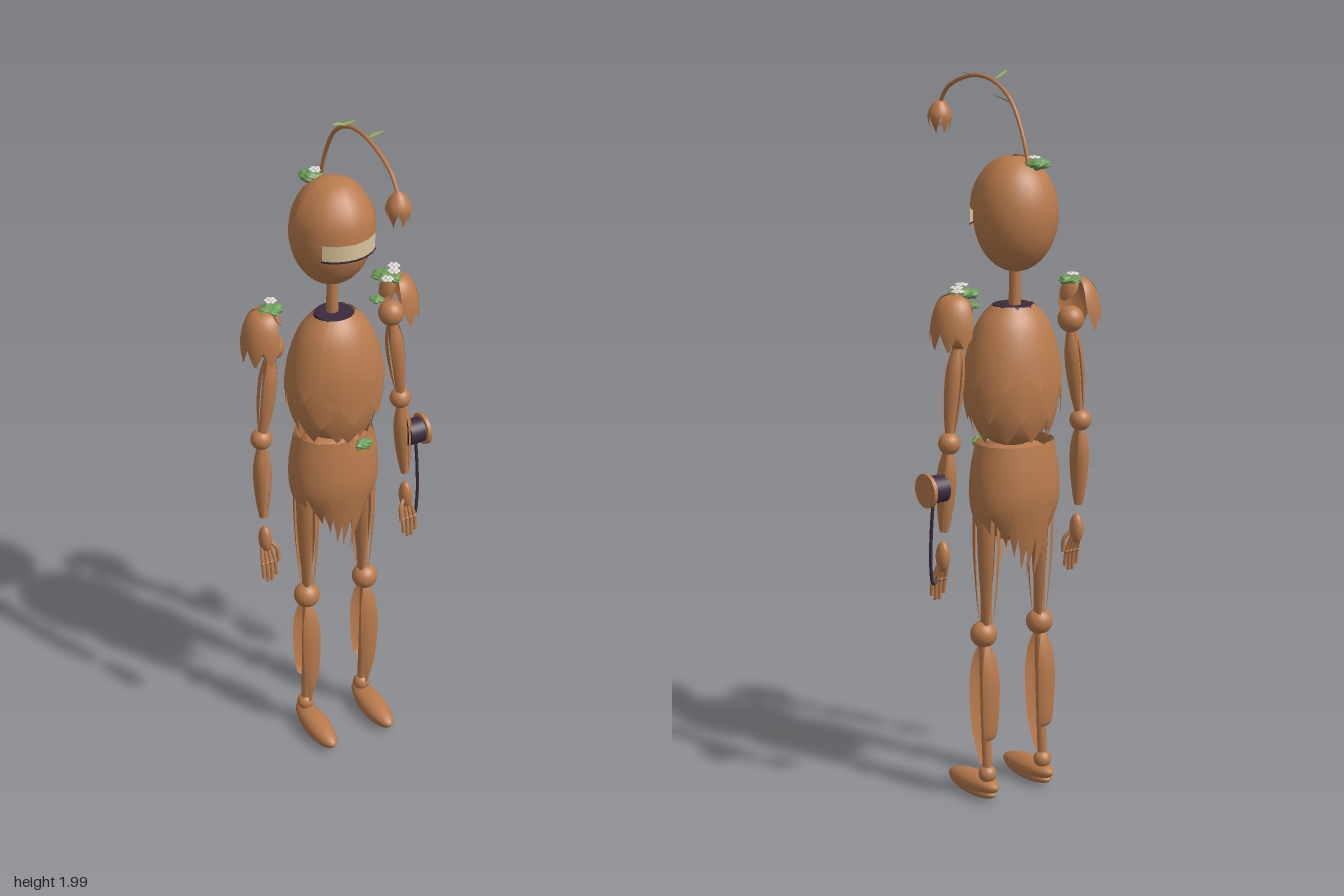
import * as THREE from 'three';
import { mergeVertices } from 'three/addons/utils/BufferGeometryUtils.js';

const mat = (name, color, side = THREE.DoubleSide) => {
  const m = new THREE.MeshStandardMaterial({ color, side });
  m.name = name;
  return m;
};

const curve = (pts) => new THREE.SplineCurve(pts.map(p => new THREE.Vector2(p[0], p[1])));

// Leaf-shaped patch of a surface of revolution.
// profile: [radius, y] points; widths: relative half widths from root to tip; half: half angle.
function petal(profile, angle, half, widths, sx = 1, sz = 1) {
  const prof = curve(profile), wid = curve(widths.map((w, i) => [i, w]));
  const nu = 8, nv = 16, pos = [], idx = [];
  for (let j = 0; j <= nv; j++) {
    const p = prof.getPoint(j / nv), w = Math.max(0, wid.getPoint(j / nv).y) * half;
    for (let i = 0; i <= nu; i++) {
      const a = angle + (i / nu * 2 - 1) * w;
      pos.push(Math.sin(a) * p.x * sx, p.y, Math.cos(a) * p.x * sz);
      if (i < nu && j < nv) {
        const k = j * (nu + 1) + i, n = k + nu + 1;
        idx.push(k, n, k + 1, k + 1, n, n + 1);
      }
    }
  }
  const g = new THREE.BufferGeometry();
  g.setAttribute('position', new THREE.Float32BufferAttribute(pos, 3));
  g.setIndex(idx);
  g.computeVertexNormals();
  return g;
}

// Lumpy cushion
function mossGeometry(seed) {
  const g = new THREE.IcosahedronGeometry(1, 5);
  g.deleteAttribute('normal');
  g.deleteAttribute('uv');
  const m = mergeVertices(g, 1e-4), p = m.attributes.position, v = new THREE.Vector3();
  for (let i = 0; i < p.count; i++) {
    v.fromBufferAttribute(p, i);
    const k = 0.9 + 0.16 * Math.sin(5 * v.x + seed) * Math.sin(5 * v.z + 2 * seed) + 0.09 * Math.sin(9 * v.y + 8 * v.x + seed);
    p.setXYZ(i, v.x * k, v.y * k, v.z * k);
  }
  m.computeVertexNormals();
  return m;
}

export function createModel() {
  const bark = mat('bark brown', 0xb87a4c), dark = mat('dark purple', 0x3a2b3d);
  const moss = mat('moss green', 0x6fa05a), leafMat = mat('leaf green', 0x9ab564);
  const cream = mat('cream', 0xd9c39a), white = mat('blossom white', 0xdcd6d2);
  const model = new THREE.Group(), body = new THREE.Group();
  body.name = 'body';
  body.position.x = -0.013;
  model.add(body);

  const group = (parent, name, x = 0, y = 0, z = 0) => {
    const g = new THREE.Group();
    g.name = name;
    g.position.set(x, y, z);
    parent.add(g);
    return g;
  };
  const add = (parent, name, geo, material, pos = [0, 0, 0], scale = [1, 1, 1]) => {
    const m = new THREE.Mesh(geo, material);
    m.name = name;
    m.position.set(...pos);
    m.scale.set(...scale);
    parent.add(m);
    return m;
  };
  const ball = (parent, name, r, pos, scale, material = bark) =>
    add(parent, name, new THREE.SphereGeometry(r, 28, 20), material, pos, scale);
  const tube = (parent, name, pts, r, material = bark) =>
    add(parent, name, new THREE.TubeGeometry(new THREE.CatmullRomCurve3(pts.map(p => new THREE.Vector3(...p))), 40, r, 10), material);
  const lathe = (profile) => new THREE.LatheGeometry(curve(profile).getPoints(24), 40);

  // Head: skull, projecting brow shell, jaw and visor band
  const head = group(body, 'head', 0, 1.635, -0.131);
  ball(head, 'skull', 1, [0, 0, -0.003], [0.114, 0.153, 0.112]);
  const browProfile = [[0.003, 0.156], [0.05, 0.143], [0.088, 0.105], [0.11, 0.06], [0.116, 0.015]];
  add(head, 'browShell', petal(browProfile, 0, 1.55, [1, 1, 1], 1, 1.1), bark);
  add(head, 'browEdge', petal([[0.116, 0.015], [0.1, 0.015]], 0, 1.55, [1, 1], 1, 1.1), bark);
  add(head, 'visor', petal([[0.116, 0.015], [0.116, -0.03]], 0, 0.75, [1, 1], 1, 1.09), cream);
  add(head, 'visorLip', petal([[0.117, -0.029], [0.117, -0.035]], 0, 0.77, [1, 1], 1, 1.09), dark);
  add(head, 'visorFloor', petal([[0.117, -0.035], [0.095, -0.036]], 0, 0.77, [1, 1], 1, 1.09), bark);

  // Neck and collar
  add(body, 'neck', new THREE.CylinderGeometry(0.015, 0.017, 0.14, 20), bark, [0, 1.435, -0.131]);
  add(body, 'collar', new THREE.CylinderGeometry(0.052, 0.056, 0.012, 32), dark, [0, 1.386, -0.122]);

  // Torso: egg core with overlapping scale leaves
  const torso = group(body, 'torso', 0, 0, -0.122);
  const egg = [[0.058, 1.39], [0.093, 1.345], [0.12, 1.27], [0.128, 1.2], [0.112, 1.1], [0.075, 1.03], [0, 1.0]];
  add(torso, 'torsoCore', lathe(egg), bark).scale.z = 0.86;
  const leafWidths = [0.6, 0.95, 1, 0.7, 0];
  const low = [[0.122, 1.25], [0.134, 1.19], [0.126, 1.1], [0.1, 1.025]];
  const mid = [[0.108, 1.32], [0.13, 1.25], [0.14, 1.17], [0.136, 1.09]];
  const high = [[0.06, 1.392], [0.1, 1.345], [0.129, 1.27], [0.147, 1.175]];
  [low, mid, high].forEach((profile, row) => {
    for (let i = 0; i < 9; i++) {
      const a = Math.PI + (i + row * 0.5) * Math.PI * 2 / 9;
      if (row < 2 || Math.cos(a) < 0.8) add(torso, 'torsoLeaf', petal(profile, a, 0.42, leafWidths, 1, 0.84), bark);
    }
  });
  add(torso, 'chestPlate', petal([[0.06, 1.392], [0.1, 1.345], [0.13, 1.26], [0.136, 1.17], [0.12, 1.08], [0.085, 1.01]],
    0, 0.75, [0.9, 1, 1, 0.85, 0.55, 0], 1, 0.87), bark);

  // Hips: core with long pointed skirt strips, longest at front and back
  const skirt = group(body, 'skirt', 0, 0, -0.132);
  add(skirt, 'hipCore', lathe([[0, 1.015], [0.085, 1.0], [0.108, 0.92], [0.1, 0.83], [0.06, 0.76], [0, 0.74]]), bark).scale.z = 0.78;
  for (let layer = 0; layer < 2; layer++) for (let i = 0; i < 12; i++) {
    const a = (i + layer * 0.5) * Math.PI / 6, c = Math.abs(Math.cos(a));
    const tip = 0.75 - 0.1 * c * c + 0.03 * ((i * 5) % 3) - 0.02 * layer, o = layer * 0.006;
    add(skirt, 'skirtLeaf', petal([[0.108 + o, 1.02], [0.124 + o, 0.93], [0.122 + o, 0.84], [0.1 + o - 0.03 * c, tip]],
      a, 0.3, [0.75, 1, 0.85, 0], 1, 0.78), bark);
  }

  // Lens-shaped limb: core rod with curved bark sheets around it, hanging down from its group
  const limb = (parent, name, len, r, depth, count, widths, angle0 = 0) => {
    add(parent, name + 'Core', new THREE.CylinderGeometry(r * 0.6, r * 0.45, len, 16), bark, [0, -len / 2, 0]);
    for (let i = 0; i < count; i++)
      add(parent, name + 'Sheet', petal([[r * 0.45, 0], [r * 0.95, -len * 0.25], [r, -len * 0.5], [r * 0.75, -len * 0.8], [r * 0.45, -len]],
        angle0 + i * Math.PI * 2 / count, 2.6 / count, widths, 1, depth), bark);
  };

  for (const s of [1, -1]) {
    const side = s > 0 ? 'left' : 'right';
    // Leg
    const leg = group(body, side + 'Leg', s * 0.095, 0, -0.122);
    const thigh = group(leg, 'thigh', s * -0.005, 0.97, -0.005);
    limb(thigh, 'thigh', 0.47, 0.034, 1.25, 4, [0.8, 1, 1, 0.8, 0.4], Math.PI / 4);
    ball(leg, 'knee', 0.037, [0, 0.485, 0]);
    tube(leg, 'shinBone', [[0, 0.48, 0], [0, 0.3, -0.006], [0, 0.09, -0.018]], 0.013);
    const sheet = (dir, end) => add(leg, 'shinSheet',
      petal([[0.012, 0.47], [0.034, 0.41], [0.043, 0.33], [0.036, 0.2], [0.016, end]], dir, 0.65, [0.7, 1, 1, 0.9, 0.35], 1.08, 0.95),
      bark, [0, 0, -0.004]);
    sheet(0, 0.1);
    sheet(Math.PI, 0.18);
    ball(leg, 'ankle', 0.025, [0, 0.082, -0.018]);
    const foot = ball(leg, 'foot', 1, [0, 0.042, 0.048], [0.037, 0.03, 0.109]);
    foot.rotation.x = 0.07;
    ball(leg, 'sole', 1, [0, 0.026, 0.05], [0.033, 0.022, 0.1]);

    // Arm
    const arm = group(body, side + 'Arm', 0, 0, -0.135);
    ball(arm, 'shoulder', 0.036, [s * 0.185, 1.33, 0]);
    const upper = group(arm, 'upperArm', s * 0.187, 1.31, 0);
    upper.rotation.z = s * 0.12;
    limb(upper, 'upperArm', 0.25, 0.026, 1, 3, [0.8, 1, 1, 0.9, 0.6]);
    ball(arm, 'elbow', 0.03, [s * 0.219, 1.045, -0.004]);
    const fore = group(arm, 'forearm', s * 0.22, 1.03, 0);
    fore.rotation.set(-0.05, 0, s * 0.03);
    limb(fore, 'forearm', 0.23, 0.025, 1.1, 3, [0.8, 1, 1, 0.9, 0.7], Math.PI);

    // Hand
    const hand = group(arm, 'hand', s * 0.226, 0, 0.018);
    ball(hand, 'palm', 1, [0, 0.728, 0], [0.018, 0.043, 0.022]);
    for (let i = 0; i < 4; i++) {
      const x = (i - 1.5) * 0.013, drop = i % 3 ? 0.602 : 0.617;
      tube(hand, 'finger', [[x * 0.7, 0.705, 0.004], [x, 0.66, 0.02], [x, drop, 0.026]], 0.0052);
      ball(hand, 'knuckle', 0.0068, [x, 0.66, 0.02]);
    }
    tube(hand, 'thumb', [[-s * 0.012, 0.72, 0.01], [-s * 0.026, 0.7, 0.02], [-s * 0.027, 0.66, 0.026]], 0.0058);

    // Shoulder pad of drooping petals
    const pad = group(body, side + 'ShoulderPad', s * 0.2, 0, -0.14);
    const padProfile = [[0.003, 1.445], [0.034, 1.436], [0.055, 1.408], [0.066, 1.36], [0.066, 1.305]];
    for (let i = -2; i <= 2; i++)
      add(pad, 'padPetal', petal(padProfile.map(([r, y]) => [r, i % 2 ? y - 0.003 : y + Math.abs(i) * 0.001]),
        s * Math.PI / 2 + i * 0.68, 0.46, [1, 1, 1, 0.85, 0.1]), bark);
    add(pad, 'innerPadPetal', petal([[0.003, 1.444], [0.03, 1.436], [0.043, 1.41], [0.046, 1.385]], -s * Math.PI / 2, 1.1, [1, 1, 0.8, 0.2]), bark);
  }

  // Wrist reel and cable on the left arm
  const reel = group(body, 'wristReel', 0.258, 0.925, -0.132);
  const drum = (name, r, len, x, m) => { add(reel, name, new THREE.CylinderGeometry(r, r, len, 32), m, [x, 0, 0]).rotation.z = Math.PI / 2; };
  drum('reelDrum', 0.037, 0.046, 0, dark);
  drum('reelDisc', 0.046, 0.011, 0.03, bark);
  tube(body, 'cable', [[0.266, 0.89, -0.13], [0.269, 0.8, -0.125], [0.266, 0.71, -0.118], [0.253, 0.655, -0.11], [0.236, 0.665, -0.105]], 0.0045, dark);

  // Arched stem with leaves and a hanging bud
  tube(body, 'stem', [[0, 1.765, -0.19], [0, 1.84, -0.165], [0, 1.925, -0.115], [0, 1.968, -0.05], [0, 1.982, 0.03],
    [0, 1.968, 0.11], [0, 1.935, 0.18], [0, 1.89, 0.215]], 0.0055);
  const leaf = (x, y, z, s, rise, len) => {
    const g = new THREE.PlaneGeometry(1, 1, 12, 4), p = g.attributes.position;
    for (let i = 0; i < p.count; i++) {
      const t = p.getX(i) + 0.5, w = p.getY(i) * 0.36 * Math.sin(Math.PI * Math.pow(t, 0.85));
      p.setXYZ(i, s * t * len, rise * t + 0.25 * w * w / 0.3 * len, w * len + 0.3 * t * t * len);
    }
    g.computeVertexNormals();
    add(body, 'stemLeaf', g, leafMat, [x, y, z]);
  };
  leaf(0.004, 1.922, -0.12, 1, 0.028, 0.056);
  leaf(-0.004, 1.978, -0.035, -1, 0.02, 0.052);
  leaf(0.004, 1.978, 0.055, 1, 0.016, 0.042);
  const bud = group(body, 'bud', 0, 1.855, 0.215);
  ball(bud, 'budHeart', 1, [0, 0.002, 0], [0.018, 0.028, 0.018], cream);
  for (let i = 0; i < 6; i++)
    add(bud, 'budPetal', petal([[0.003, 0.048], [0.02, 0.033], [0.033, 0.002], [0.022, -0.045]], i * Math.PI / 3, 0.55, [1, 1, 0.95, 0]), bark);

  // Moss cushions: x, y, z, radius x, height, radius z
  [[-0.024, 1.772, -0.198, 0.033, 0.017, 0.032], [-0.18, 1.44, -0.14, 0.037, 0.014, 0.034],
    [0.17, 1.444, -0.148, 0.034, 0.015, 0.034], [0.186, 1.442, -0.125, 0.024, 0.012, 0.022],
    [0.126, 1.4, -0.112, 0.019, 0.009, 0.022], [0.044, 1.004, -0.036, 0.028, 0.016, 0.018]]
    .forEach(([x, y, z, ...r], i) => add(body, 'moss', mossGeometry(i + 1), moss, [x, y, z], r));

  // Blossoms: ring of small round petals
  [[-0.015, 1.788, -0.192], [-0.174, 1.458, -0.155], [0.155, 1.458, -0.105], [0.192, 1.458, -0.135], [0.209, 1.455, -0.165]]
    .forEach(([x, y, z]) => {
      const blossom = group(body, 'blossom', x, y, z);
      ball(blossom, 'blossomHeart', 0.006, [0, 0.002, 0], [1, 0.7, 1], white);
      for (let i = 0; i < 6; i++) {
        const a = i * Math.PI / 3;
        add(blossom, 'blossomPetal', new THREE.SphereGeometry(0.0068, 12, 8), white, [Math.sin(a) * 0.0115, 0, Math.cos(a) * 0.0115], [1, 0.6, 1]);
      }
    });
  return model;
}
